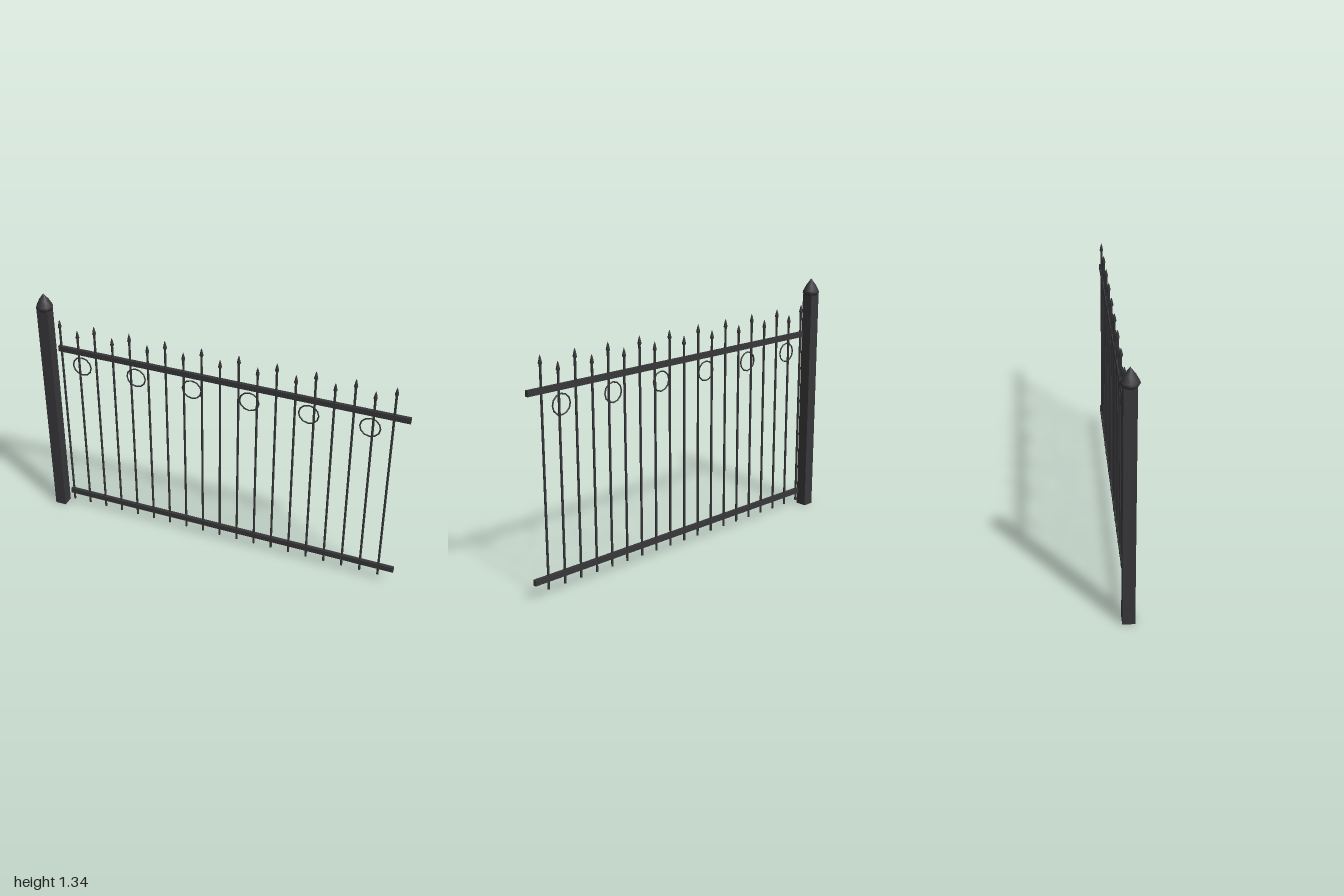
import * as THREE from 'three';

export function createModel() {
  const group = new THREE.Group();
  const iron = new THREE.MeshStandardMaterial({ color: 0x37373a });
  iron.name = 'darkIron';

  const add = (name, geometry, x, y, z = 0) => {
    const mesh = new THREE.Mesh(geometry, iron);
    mesh.name = name;
    mesh.position.set(x, y, z);
    group.add(mesh);
    return mesh;
  };
  const lathe = (points, sides) =>
    new THREE.LatheGeometry(points.map(([r, y]) => new THREE.Vector2(r, y)), sides);

  // Square post with a faceted, pointed cap
  const postX = -0.955;
  add('post', new THREE.BoxGeometry(0.062, 1.256, 0.062), postX, 0.628);
  const cap = lathe([[0, 0], [0.038, 0], [0.046, 0.013], [0.043, 0.024], [0.026, 0.056], [0, 0.091]], 8);
  add('postCap', cap, postX, 1.252);

  // Two horizontal rails
  for (const [name, y] of [['bottomRail', 0.097], ['topRail', 1.035]]) {
    add(name, new THREE.BoxGeometry(1.89, 0.03, 0.018), 0.055, y);
  }

  // Pickets with spear tips, alternating tall and short
  const foot = 0.04;
  const spear = lathe([[0, 0], [0.006, 0], [0.0105, 0.008], [0.005, 0.034], [0, 0.05]], 8);
  for (let i = 0; i < 19; i++) {
    const x = -0.875 + i * 0.0996;
    const top = i % 2 ? 1.112 : 1.157;
    const shaft = new THREE.CylinderGeometry(0.0062, 0.0062, top - foot, 8);
    add('picket', shaft, x, (top + foot) / 2);
    add('spearTip', spear, x, top - 0.001);
  }

  // Decorative rings below the top rail
  const ring = new THREE.TorusGeometry(0.052, 0.004, 6, 12);
  for (let i = 0; i < 6; i++) add('ring', ring, -0.76 + i * 0.313, 0.949);

  return group;
}
